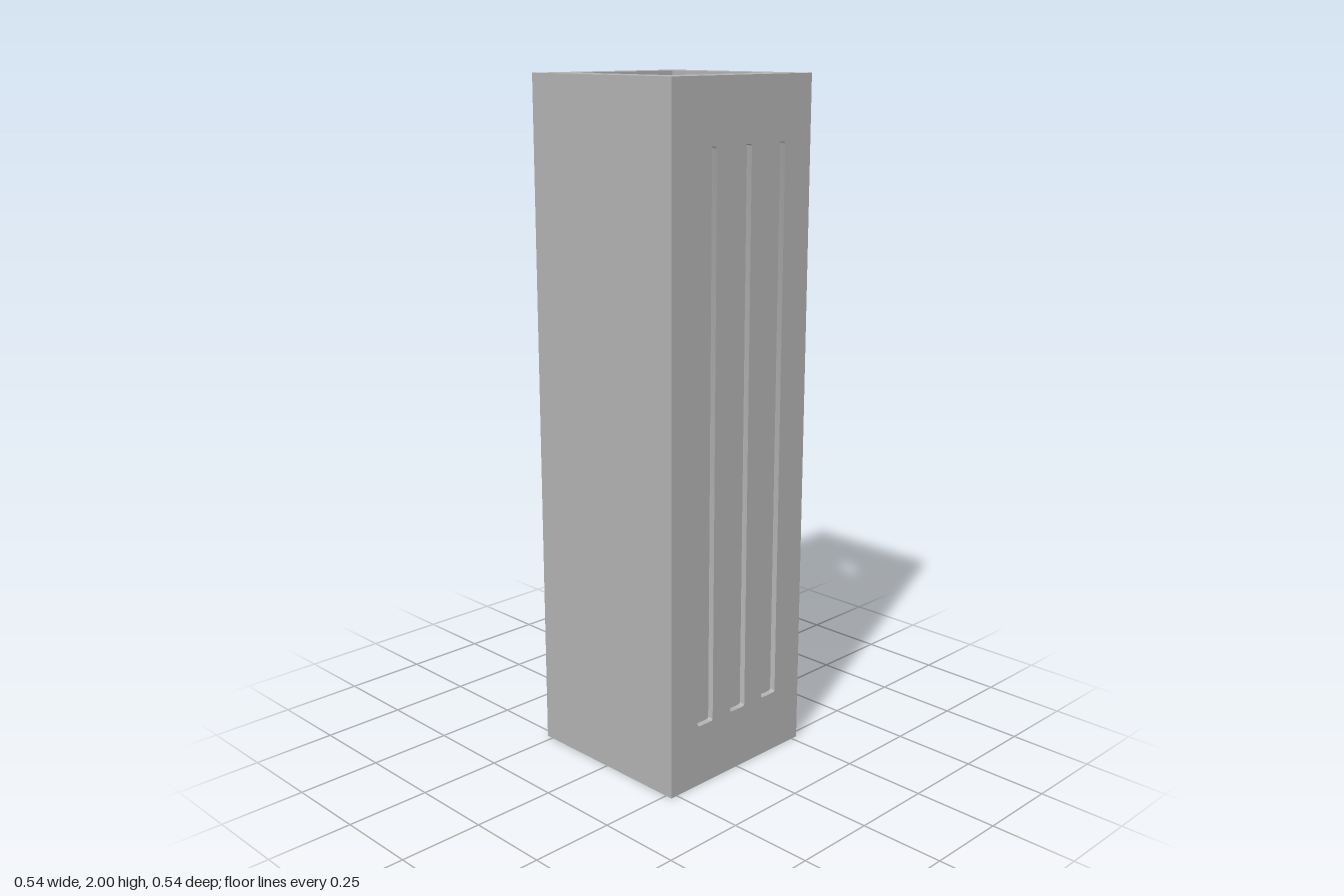
import * as THREE from 'three';
import { toCreasedNormals } from 'three/addons/utils/BufferGeometryUtils.js';

const H = 0.272;          // half of outer width
const R = 0.183;          // half of inner opening
const TALL = 2;
const GROOVE = 0.018;     // groove depth
const SLOTS = [-0.135, 0, 0.135];

// Rounded rectangle, counter-clockwise
function rect(Kind, x0, y0, x1, y1, r = 0) {
  const s = new Kind();
  if (!r) {
    s.moveTo(x0, y0).lineTo(x1, y0).lineTo(x1, y1).lineTo(x0, y1).lineTo(x0, y0);
    return s;
  }
  s.absarc(x1 - r, y0 + r, r, -Math.PI / 2, 0);
  s.absarc(x1 - r, y1 - r, r, 0, Math.PI / 2);
  s.absarc(x0 + r, y1 - r, r, Math.PI / 2, Math.PI);
  s.absarc(x0 + r, y0 + r, r, Math.PI, Math.PI * 1.5);
  s.closePath();
  return s;
}

const slot = (Kind, x) => rect(Kind, x - 0.031, 0.185, x + 0.031, 1.82, 0.008);

function circle(Kind) {
  const c = new Kind();
  c.absarc(0, 1.7, 0.084, 0, Math.PI * 2);
  return c;
}

// Inward-facing wall that runs back from a closed outline
function recessWall(path, depth, segments) {
  const pts = path.getPoints(segments);
  const v = [];
  for (let i = 0; i < pts.length; i++) {
    const a = pts[i], b = pts[(i + 1) % pts.length];
    if (a.distanceTo(b) < 1e-6) continue;
    v.push(a.x, a.y, 0, b.x, b.y, 0, b.x, b.y, -depth);
    v.push(a.x, a.y, 0, b.x, b.y, -depth, a.x, a.y, -depth);
  }
  const g = new THREE.BufferGeometry();
  g.setAttribute('position', new THREE.Float32BufferAttribute(v, 3));
  g.computeVertexNormals();
  return toCreasedNormals(g, 0.6);
}

export function createModel() {
  const model = new THREE.Group();
  const grey = new THREE.MeshStandardMaterial({ color: 0xb2b2b2 });
  grey.name = 'plain grey';

  const add = (parent, name, geometry, z) => {
    const mesh = new THREE.Mesh(geometry, grey);
    mesh.name = name;
    mesh.position.z = z;
    parent.add(mesh);
  };

  // Four sides: each has an outer face and the inner face seen across the shaft
  ['front', 'right', 'back', 'left'].forEach((name, i) => {
    const side = new THREE.Group();
    side.name = name + 'Side';
    side.rotation.y = i * Math.PI / 2;
    model.add(side);

    const outer = rect(THREE.Shape, -H, 0, H, TALL);
    const inner = rect(THREE.Shape, -R, 0, R, TALL);

    // Three shallow grooves on front and back
    if (i % 2 === 0) {
      SLOTS.forEach((x) => {
        outer.holes.push(slot(THREE.Path, x));
        add(side, 'grooveWall', recessWall(slot(THREE.Path, x), GROOVE, 6), H);
        add(side, 'grooveFloor', new THREE.ShapeGeometry(slot(THREE.Shape, x), 6), H - GROOVE);
      });
    }
    // Round hole through one side wall
    if (i === 1) {
      outer.holes.push(circle(THREE.Path));
      add(side, 'roundHole', recessWall(circle(THREE.Path), H - R, 64), H);
    }
    if (i === 3) inner.holes.push(circle(THREE.Path));

    const segments = i % 2 ? 64 : 6;
    add(side, 'outerFace', new THREE.ShapeGeometry(outer, segments), H);
    add(side, 'innerFace', new THREE.ShapeGeometry(inner, segments), -R);
  });

  // Square rims at the open top and bottom
  const ring = rect(THREE.Shape, -H, -H, H, H);
  ring.holes.push(rect(THREE.Path, -R, -R, R, R));
  [['topRim', TALL, -1], ['bottomRim', 0, 1]].forEach(([name, y, turn]) => {
    const rim = new THREE.Mesh(new THREE.ShapeGeometry(ring), grey);
    rim.name = name;
    rim.position.y = y;
    rim.rotation.x = turn * Math.PI / 2;
    model.add(rim);
  });

  return model;
}
